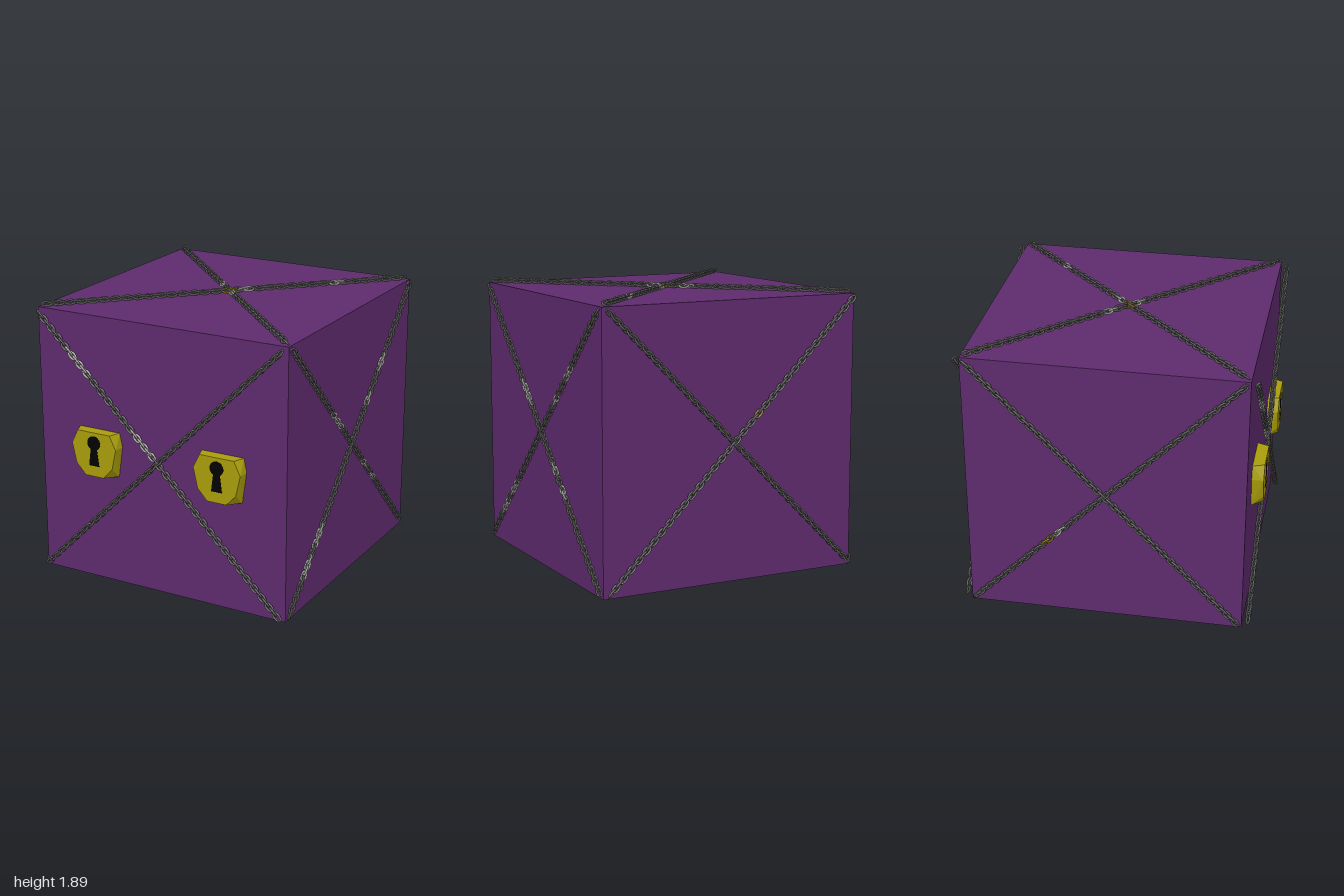
import * as THREE from 'three';
import { mergeGeometries } from 'three/addons/utils/BufferGeometryUtils.js';
import { ConvexGeometry } from 'three/addons/geometries/ConvexGeometry.js';

const V = (x, y, z) => new THREE.Vector3(x, y, z);
const material = (name, color) => Object.assign(new THREE.MeshStandardMaterial({ color }), { name });

const purple = material('purple', 0x5d2a6d);
const gold = material('lock gold', 0xa89c0c);
const black = material('keyhole black', 0x020202);
const steel = material('dark steel', 0x5c5d5b);
const shine = material('polished steel', 0xacaca6);
const brass = material('tarnished brass', 0x8a7c10);

// One oval link, long axis along y
function makeLink() {
  const w = 0.0135, l = 0.034, s = 0.021;
  const path = new THREE.CatmullRomCurve3([
    V(0, l, 0), V(w, s, 0), V(w, -s, 0), V(0, -l, 0), V(-w, -s, 0), V(-w, s, 0),
  ], true);
  return new THREE.TubeGeometry(path, 14, 0.0072, 5, true);
}

// A tight chain whose links lean alternately to either side of the face normal;
// patches are [start, end, material] along its length
function makeChain(name, a, b, normal, patches = []) {
  const chain = new THREE.Group();
  chain.name = name;
  const dir = b.clone().sub(a);
  const length = dir.length();
  dir.normalize();
  const side = dir.clone().cross(normal);
  const link = makeLink();
  const count = 66;
  const sets = new Map();
  for (let i = 0; i < count; i++) {
    const t = i / (count - 1);
    const across = side.clone().addScaledVector(normal, i % 2 ? 1 : -1).normalize();
    const depth = across.clone().cross(dir);
    const p = a.clone().addScaledVector(dir, 0.035 + t * (length - 0.07));
    const m = new THREE.Matrix4().makeBasis(across, dir, depth).setPosition(p);
    const patch = patches.find(([s, e]) => t >= s && t <= e);
    const mat = patch ? patch[2] : steel;
    if (!sets.has(mat)) sets.set(mat, []);
    sets.get(mat).push(link.clone().applyMatrix4(m));
  }
  for (const [mat, parts] of sets) {
    const mesh = new THREE.Mesh(mergeGeometries(parts), mat);
    mesh.name = mat.name + ' links';
    chain.add(mesh);
  }
  return chain;
}

// Faceted padlock body with a flat keyhole plate
function makeLock(x) {
  const lock = new THREE.Group();
  lock.name = 'padlock';
  const points = [];
  const back = [[0.155, 0.155], [0.175, 0.06], [0.145, -0.155]];
  const front = [[0.125, 0.155], [0.172, 0.06], [0.14, -0.08], [0.07, -0.155]];
  for (const s of [-1, 1]) {
    for (const [px, py] of back) points.push(V(s * px, py, 0));
    for (const [px, py] of front) points.push(V(s * px, py, 0.08));
  }
  const body = new THREE.Mesh(new ConvexGeometry(points), gold);
  body.name = 'padlockBody';

  const hole = new THREE.Shape();
  hole.absarc(0, 0.08, 0.05, -1.05, Math.PI + 1.05, false);
  hole.lineTo(-0.04, -0.08);
  hole.lineTo(0.04, -0.08);
  hole.closePath();
  const plate = new THREE.Mesh(
    new THREE.ExtrudeGeometry(hole, { depth: 0.002, bevelEnabled: false, curveSegments: 12 }), black);
  plate.name = 'keyhole';
  plate.position.z = 0.0795;

  lock.add(body, plate);
  lock.position.set(x, 0.925, 0.919);
  return lock;
}

export function createModel() {
  const model = new THREE.Group();
  model.name = 'chainedCube';

  const cube = new THREE.Mesh(new THREE.BoxGeometry(1.86, 1.86, 1.86), purple);
  cube.name = 'cube';
  cube.position.set(0, 0.93, -0.01);
  model.add(cube);

  // Two crossing chains per face: at(u, v) maps face corners, u and v being -1 or 1
  const r = 0.912, cy = 0.935, cz = -0.01;
  const faces = [
    { name: 'front', n: V(0, 0, 1), at: (u, v) => V(u * r, cy + v * r, 0.96),
      up: [], down: [[0.12, 0.2, shine], [0.4, 0.48, shine]] },
    { name: 'back', n: V(0, 0, -1), at: (u, v) => V(-u * r, cy + v * r, -0.98),
      up: [[0.585, 0.615, brass]], down: [] },
    { name: 'right', n: V(1, 0, 0), at: (u, v) => V(0.942, cy + v * r, cz - u * r),
      up: [[0.1, 0.16, shine], [0.2, 0.25, shine], [0.62, 0.66, shine], [0.73, 0.77, shine]],
      down: [[0.33, 0.41, shine], [0.61, 0.64, shine], [0.68, 0.72, shine]] },
    { name: 'left', n: V(-1, 0, 0), at: (u, v) => V(-0.948, cy + v * r, cz + u * r),
      up: [[0.265, 0.295, brass], [0.31, 0.35, shine]], down: [] },
    { name: 'top', n: V(0, 1, 0), at: (u, v) => V(u * r, 1.876, cz - v * r),
      up: [[0.49, 0.52, brass], [0.53, 0.56, shine], [0.79, 0.82, shine]],
      down: [[0.43, 0.46, shine], [0.51, 0.54, shine]] },
  ];
  for (const { name, n, at, up, down } of faces) {
    model.add(makeChain(name + 'RisingChain', at(-1, -1), at(1, 1), n, up));
    model.add(makeChain(name + 'FallingChain', at(-1, 1), at(1, -1), n, down));
  }

  // Pair of padlocks on the front
  for (const s of [-1, 1]) model.add(makeLock(s * 0.467));
  return model;
}
